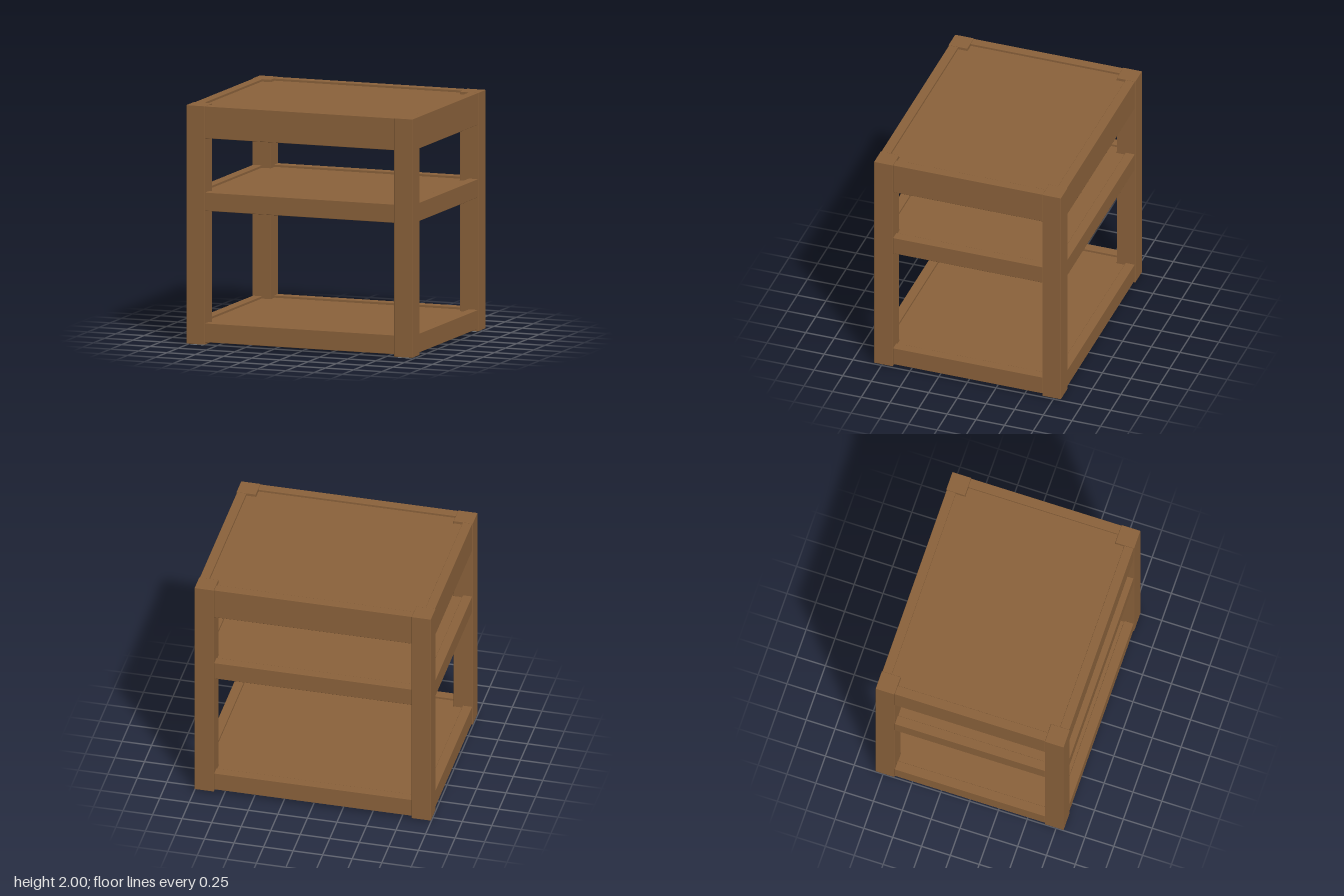
import * as THREE from 'three';
import { RoundedBoxGeometry } from 'three/addons/geometries/RoundedBoxGeometry.js';

export function createModel() {
  const model = new THREE.Group();
  model.name = 'shelfTable';
  const wood = new THREE.MeshStandardMaterial({ name: 'wood', color: 0x8b623b });
  const metal = new THREE.MeshStandardMaterial({ name: 'greyMetal', color: 0x7c7e82 });

  const add = (name, geometry, material, x, y, z, parent = model) => {
    const mesh = new THREE.Mesh(geometry, material);
    mesh.name = name;
    mesh.position.set(x, y, z);
    parent.add(mesh);
    return mesh;
  };
  const beam = (w, h, d) => new RoundedBoxGeometry(w, h, d, 1, 0.004);

  // Outer half sizes, leg thickness and rail thickness
  const X = 1, Z = 0.815, LEG = 0.163, RAIL = 0.08, INSET = 0.005;
  const legX = X - LEG, legZ = Z - LEG;
  const corners = [[1, 1], [-1, 1], [1, -1], [-1, -1]];

  // Legs with small glides underneath
  const legGeometry = beam(LEG, 1.99, LEG);
  const glideGeometry = new THREE.BoxGeometry(0.11, 0.012, 0.11);
  for (const [sx, sz] of corners) {
    const x = sx * (X - LEG / 2), z = sz * (Z - LEG / 2);
    add('leg', legGeometry, wood, x, 1.005, z);
    add('footGlide', glideGeometry, metal, x, 0.006, z);
  }

  // Board outline, notched around the four legs
  const bx = X - INSET - RAIL, bz = Z - INSET - RAIL;
  const nx = legX - 0.004, nz = legZ - 0.004;
  const outline = new THREE.Shape([
    [bx, -nz], [bx, nz], [nx, nz], [nx, bz], [-nx, bz], [-nx, nz],
    [-bx, nz], [-bx, -nz], [-nx, -nz], [-nx, -bz], [nx, -bz], [nx, -nz],
  ].map(([x, y]) => new THREE.Vector2(x, y)));
  const BOARD = 0.05;
  const boardGeometry = new THREE.ExtrudeGeometry(outline, { depth: BOARD, bevelEnabled: false });
  boardGeometry.rotateX(-Math.PI / 2);

  // Bolt pointing inward from the inner corner of a leg
  const boltGeometry = new THREE.CylinderGeometry(0.028, 0.028, 0.06, 12).rotateX(Math.PI / 2);

  // Each tier: four rails, a recessed board and corner bolts
  const tiers = [
    ['bottomShelf', 0.03, 0.19],
    ['middleShelf', 1.125, 1.28],
    ['topFrame', 1.73, 1.998],
  ];
  for (const [name, low, high] of tiers) {
    const tier = new THREE.Group();
    tier.name = name;
    model.add(tier);
    const h = high - low, y = (low + high) / 2;
    const longRail = beam(2 * legX, h, RAIL);
    const shortRail = beam(RAIL, h, 2 * legZ);
    for (const s of [1, -1]) {
      add(s > 0 ? 'frontRail' : 'backRail', longRail, wood, 0, y, s * (Z - INSET - RAIL / 2), tier);
      add(s > 0 ? 'leftRail' : 'rightRail', shortRail, wood, s * (X - INSET - RAIL / 2), y, 0, tier);
    }
    add('board', boardGeometry, wood, 0, high - 0.02 - BOARD, 0, tier);
    for (const [sx, sz] of corners) {
      const bolt = add('cornerBolt', boltGeometry, metal, sx * (legX - 0.01), low + 0.045, sz * (legZ - 0.01), tier);
      bolt.rotation.y = sx * sz * Math.PI / 4;
    }
  }
  return model;
}
